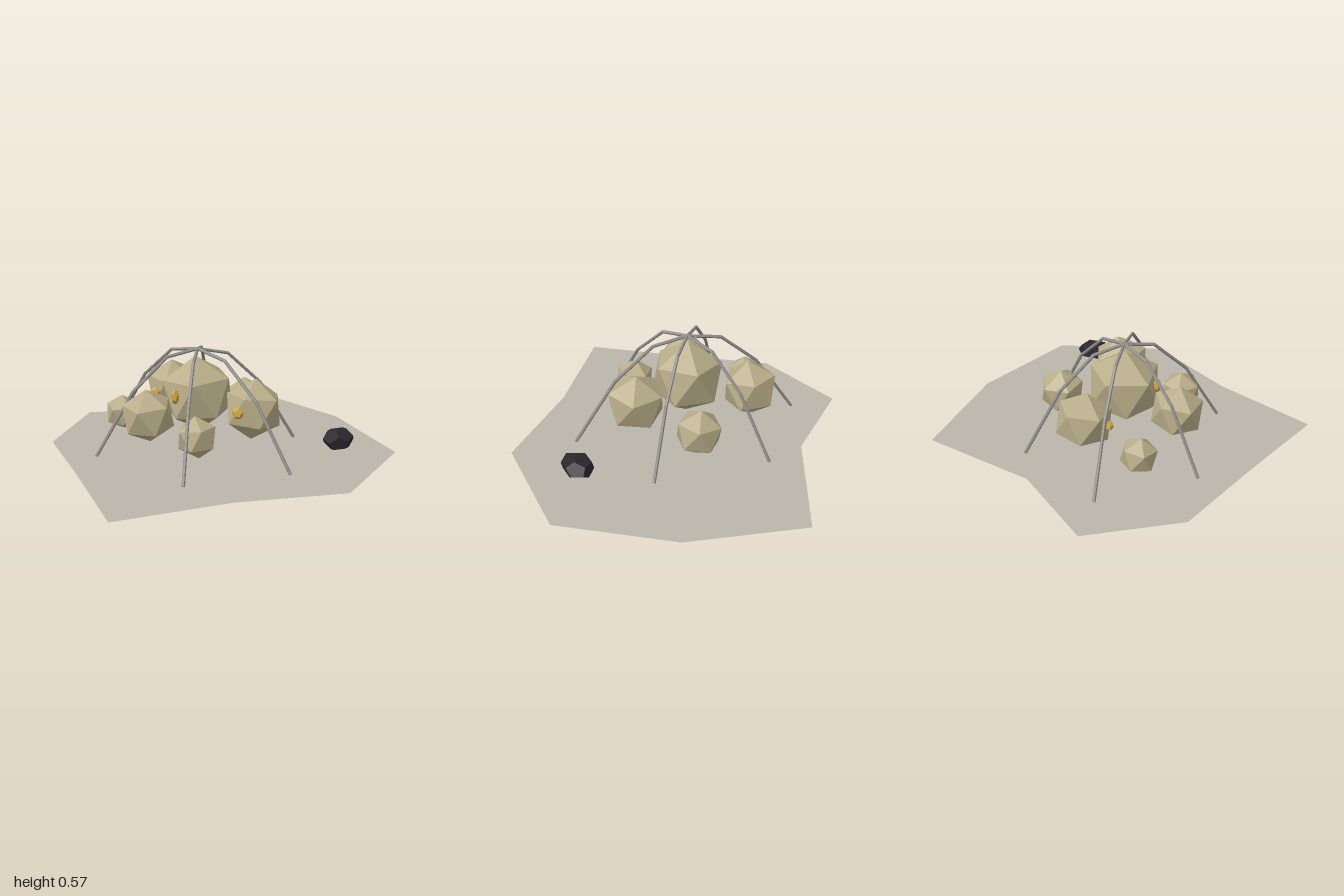
import * as THREE from 'three';

const material = (color, extra = {}) => new THREE.MeshStandardMaterial({ color, flatShading: true, ...extra });

export function createModel() {
  const model = new THREE.Group();
  const stone = material(0xb8ad88);
  const gold = material(0xd2a846);
  const coal = material(0x2a262e);
  const metal = material(0x918e8a);
  const cloth = material(0xbab5ab, { side: THREE.DoubleSide });

  const add = (name, geometry, mat, position) => {
    const mesh = new THREE.Mesh(geometry, mat);
    mesh.name = name;
    mesh.position.set(...position);
    model.add(mesh);
    return mesh;
  };

  // Flat irregular ground sheet, outline given as x, z
  const outline = [
    [0.935, 0], [0.575, 0.455], [0.28, 0.99], [-0.235, 0.72], [-0.71, 0.485],
    [-0.935, 0], [-0.575, -0.38], [-0.37, -1], [0.26, -0.925], [0.83, -0.63],
  ];
  const sheet = new THREE.ShapeGeometry(new THREE.Shape(outline.map(([x, z]) => new THREE.Vector2(x, -z))));
  add('groundSheet', sheet.rotateX(-Math.PI / 2), cloth, [0, 0.006, 0]);

  // Boulders: icosahedra standing on a corner, each turned and slightly tilted
  const boulders = [
    // name, centre, radius, turn, tilt x, tilt z
    ['centreBoulder', [-0.045, 0.317, 0.005], 0.21, Math.PI, 0.05, 0.04],
    ['backRightBoulder', [-0.36, 0.27, -0.13], 0.158, 0.5, 0.1, -0.08],
    ['backLeftBoulder', [0.265, 0.268, -0.09], 0.165, 2.8, -0.12, 0],
    ['backBoulder', [0, 0.202, -0.36], 0.13, 0.3, 0, 0.1],
    ['frontBoulder', [-0.125, 0.247, 0.31], 0.148, 2.9, 0.1, 0],
    ['rightSmallBoulder', [-0.45, 0.165, 0.18], 0.102, 0.15, 0.12, -0.05],
    ['leftSmallBoulder', [0.185, 0.19, 0.275], 0.112, 1.0, 0, 0.12],
  ];
  const cornerAngle = Math.atan((1 + Math.sqrt(5)) / 2);
  for (const [name, centre, radius, turn, tiltX, tiltZ] of boulders) {
    const geometry = new THREE.IcosahedronGeometry(radius, 0)
      .rotateX(-cornerAngle).rotateY(turn).rotateX(tiltX).rotateZ(tiltZ);
    add(name, geometry, stone, centre);
  }

  // Gold nuggets set into the front of the three largest boulders
  const nuggets = [
    [[-0.045, 0.337, 0.185], [0.022, 0.042, 0.022]],
    [[-0.36, 0.258, 0.005], [0.03, 0.026, 0.022]],
    [[0.272, 0.28, 0.05], [0.032, 0.032, 0.026]],
  ];
  for (const [position, size] of nuggets) {
    add('nugget', new THREE.DodecahedronGeometry(1, 0).rotateZ(0.3), gold, position).scale.set(...size);
  }

  // Dark lump lying apart from the pile
  const lump = new THREE.DodecahedronGeometry(1, 0).rotateZ(0.35).rotateX(0.3);
  lump.scale(0.082, 0.06, 0.103).rotateY(0.2);
  add('darkLump', lump, coal, [0.637, 0.117, -0.35]);

  // Six bent poles meeting at the top: reach (share of full spread) and height
  const profile = [[0, 0.565], [0.3, 0.53], [0.635, 0.35], [1, 0.008]];
  const up = new THREE.Vector3(0, 1, 0);
  for (let i = 0; i < 6; i++) {
    const angle = (i * Math.PI) / 3;
    const pole = new THREE.Group();
    pole.name = 'framePole';
    const points = profile.map(([reach, y]) => new THREE.Vector3(
      -0.045 + 0.628 * reach * Math.cos(angle), y, 0.005 + 0.54 * reach * Math.sin(angle)));
    for (let j = 0; j < 3; j++) {
      const along = points[j + 1].clone().sub(points[j]);
      const rod = new THREE.Mesh(new THREE.CylinderGeometry(0.009, 0.009, along.length() + 0.004, 6), metal);
      rod.name = 'poleSection';
      rod.position.copy(points[j]).addScaledVector(along, 0.5);
      rod.quaternion.setFromUnitVectors(up, along.normalize().negate());
      pole.add(rod);
    }
    model.add(pole);
  }
  return model;
}
